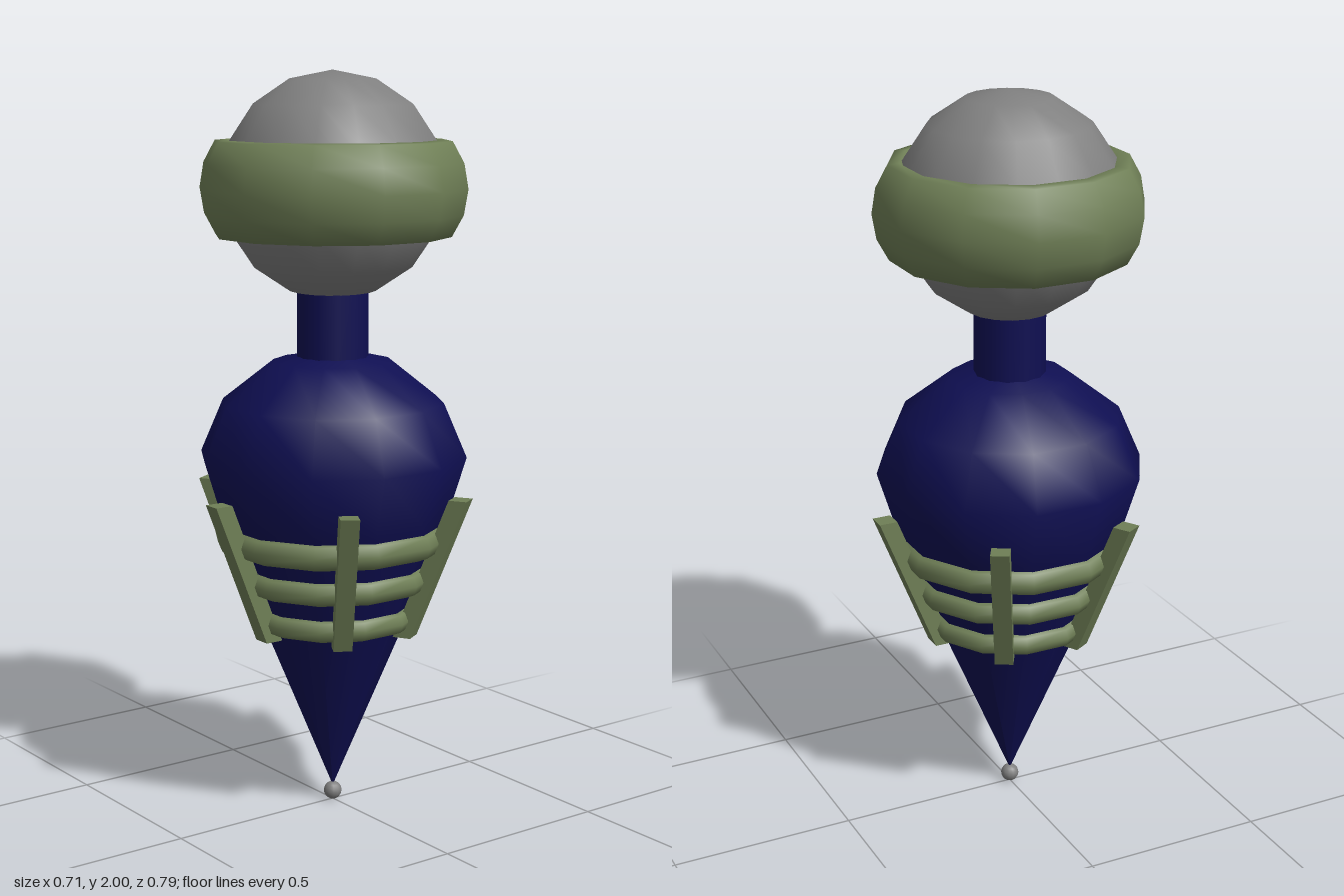
import * as THREE from 'three';

const SIDES = 12;
const TURN = Math.PI / SIDES;      // flat facets face the main axes
const FLAT = Math.cos(TURN);       // facet distance / corner distance

function material(name, color) {
  const m = new THREE.MeshStandardMaterial({ color });
  m.name = name;
  return m;
}

// Twelve-sided turned part; radii are measured to the facets
function turned(profile) {
  const points = profile.map(([r, y]) => new THREE.Vector2(r / FLAT, y));
  return new THREE.LatheGeometry(points, SIDES, TURN);
}

export function createModel() {
  const group = new THREE.Group();
  const navy = material('navy', 0x0f0f52);
  const olive = material('olive green', 0x6f7f56);
  const grey = material('grey', 0x808080);

  function add(name, geometry, mat, parent = group) {
    const mesh = new THREE.Mesh(geometry, mat);
    mesh.name = name;
    parent.add(mesh);
    return mesh;
  }

  // Pointed body with a domed shoulder
  add('body', turned([
    [0, 0.04], [0.185, 0.5], [0.30, 0.81], [0.35, 0.98],
    [0.29, 1.125], [0.155, 1.235], [0, 1.265],
  ]), navy);
  add('neck', new THREE.CylinderGeometry(0.096, 0.096, 0.22, SIDES).translate(0, 1.33, 0), navy);

  // Small ball at the point
  add('tipBall', new THREE.SphereGeometry(0.025, 12, 8).translate(0, 0.025, 0), grey);

  // Head with a thick rounded band
  add('head', new THREE.SphereGeometry(0.3, 16, 8).translate(0, 1.7, 0), grey);
  add('headBand', turned([
    [0.25, 1.565], [0.305, 1.568], [0.335, 1.625], [0.346, 1.693],
    [0.335, 1.76], [0.305, 1.817], [0.275, 1.82], [0.25, 1.80],
  ]), olive);

  // Basket: three hoops and six leaning struts
  const basket = new THREE.Group();
  basket.name = 'basket';
  group.add(basket);
  for (const [outer, y, tube] of [[0.317, 0.765, 0.04], [0.275, 0.655, 0.035], [0.232, 0.543, 0.033]]) {
    const hoop = new THREE.TorusGeometry(outer / FLAT - tube, tube, 8, SIDES);
    hoop.rotateX(Math.PI / 2).rotateY(TURN).translate(0, y, 0);
    add('hoop', hoop, olive, basket);
  }

  // Struts lean outward while their ends stay level
  const strut = new THREE.BoxGeometry(0.05, 0.39, 0.05);
  strut.applyMatrix4(new THREE.Matrix4().set(
    1, 0, 0, 0,
    0, 1, 0, 0.69,
    0, 0.4, 1, 0.29,
    0, 0, 0, 1,
  ));
  strut.computeVertexNormals();
  for (let i = 0; i < 6; i++) {
    add('strut', strut, olive, basket).rotation.y = (i * Math.PI) / 3;
  }
  return group;
}
